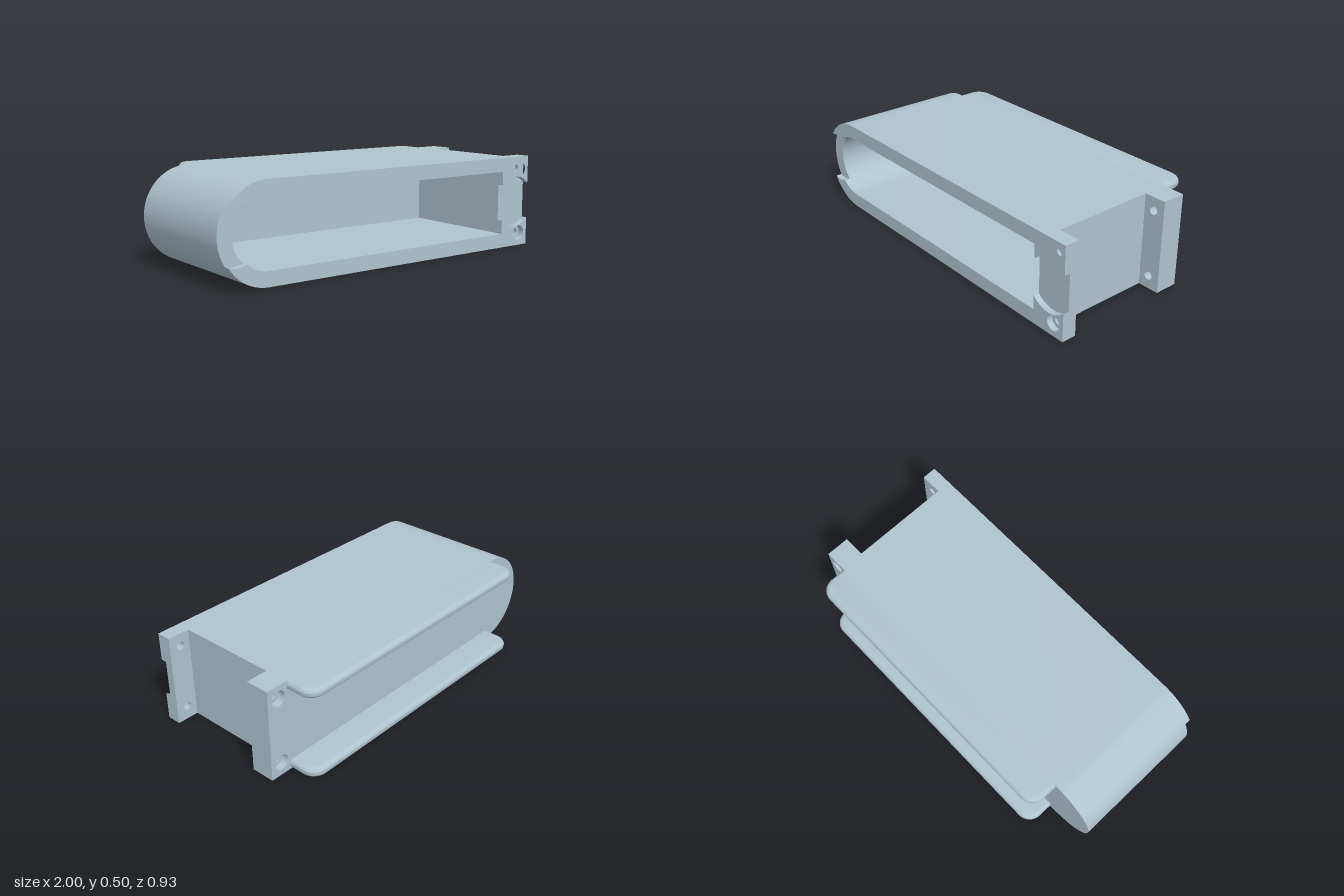
import * as THREE from 'three';
import { toCreasedNormals } from 'three/addons/utils/BufferGeometryUtils.js';

const MID = 0.2525;        // half height, also the outer end radius
const END_X = -0.7475;     // centre of the rounded end
const INNER_R = 0.175;     // cavity end radius
const BACK = -0.305, FRONT = 0.465, RIM = 0.432;
const BODY_X = 0.88, CAVITY_X = 0.8, FLANGE_X = 1;
const NOTCH_R = 0.1414, NOTCH_L = -0.92, NOTCH_RX = 0.9;
const SCREW_X = 0.935, SCREW_Y = 0.182;

// Points along an arc, angles in radians
function arc(cx, r, a0, a1, n = 24) {
  return Array.from({ length: n + 1 }, (_, i) => {
    const a = a0 + (a1 - a0) * i / n;
    return new THREE.Vector2(cx + r * Math.cos(a), r * Math.sin(a));
  });
}

// Rounded on the left, square on the right, centred on y = 0
function slot(r, xRight) {
  return [new THREE.Vector2(xRight, r), ...arc(END_X, r, Math.PI / 2, Math.PI * 1.5, 48), new THREE.Vector2(xRight, -r)];
}

function screwHole(r, y) {
  return new THREE.Path().absarc(SCREW_X, y, r, 0, Math.PI * 2, true);
}

export function createModel() {
  const model = new THREE.Group();
  model.name = 'slottedHousing';
  const material = new THREE.MeshStandardMaterial({ color: 0xafc4cf });
  material.name = 'pale blue grey';

  function add(name, shape, z0, z1) {
    const geo = new THREE.ExtrudeGeometry(shape, { depth: z1 - z0, bevelEnabled: false, curveSegments: 24 });
    const mesh = new THREE.Mesh(toCreasedNormals(geo, 0.5), material);
    mesh.name = name;
    mesh.position.set(0, MID, z0);
    model.add(mesh);
  }

  // Hollow shell and the closed wall behind it
  const wallFront = BACK + 0.08;
  const shell = new THREE.Shape(slot(MID, BODY_X));
  shell.holes.push(new THREE.Path(slot(INNER_R, CAVITY_X)));
  add('shell', shell, wallFront, RIM);
  add('backWall', new THREE.Shape(slot(MID, BODY_X)), BACK, wallFront);

  // Screw flanges, in layers so that the holes are counterbored
  function flange(name, holeR, z0, z1) {
    const s = new THREE.Shape([
      new THREE.Vector2(BODY_X, -MID), new THREE.Vector2(FLANGE_X, -MID),
      new THREE.Vector2(FLANGE_X, MID), new THREE.Vector2(BODY_X, MID),
    ]);
    for (const k of [-1, 1]) s.holes.push(screwHole(holeR, k * SCREW_Y));
    add(name, s, z0, z1);
  }
  flange('frontFlange', 0.023, 0.385, RIM);
  flange('backFlange', 0.023, BACK + 0.04, -0.175);
  flange('backFlangeCounterbore', 0.042, BACK, BACK + 0.04);

  // Front rim halves, parted by round finger notches at both ends
  const d = END_X - NOTCH_L;
  const meet = (R) => { // where the left notch cuts a circle of the rounded end
    const a = (R * R - NOTCH_R * NOTCH_R + d * d) / (2 * d);
    const h = Math.sqrt(R * R - a * a);
    return { end: Math.atan2(h, -a), notch: Math.atan2(h, d - a) };
  };
  const inner = meet(INNER_R), outer = meet(MID);
  const half = [
    new THREE.Vector2(FLANGE_X, MID),
    ...arc(NOTCH_RX, NOTCH_R, Math.PI / 4, Math.PI * 0.75),
    new THREE.Vector2(CAVITY_X, INNER_R),
    ...arc(END_X, INNER_R, Math.PI / 2, inner.end),
    ...arc(NOTCH_L, NOTCH_R, inner.notch, outer.notch).slice(1, -1),
    ...arc(END_X, MID, outer.end, Math.PI / 2),
  ];
  for (const k of [1, -1]) {
    const s = new THREE.Shape(half.map((p) => new THREE.Vector2(p.x, k * p.y)));
    s.holes.push(screwHole(0.042, k * SCREW_Y));
    add(k > 0 ? 'upperRim' : 'lowerRim', s, RIM, FRONT);
  }

  // Two rear rails with fully rounded edges, rooted in the back wall
  const r = 0.026, c = 0.08 - r;
  const x0 = -0.745 + r, x1 = BODY_X - r, root = 0.3, tip = 0.467 - r;
  const rail = new THREE.Shape();
  rail.moveTo(x0, root);
  rail.lineTo(x1, root);
  rail.lineTo(x1, tip - c);
  rail.absarc(x1 - c, tip - c, c, 0, Math.PI / 2, false);
  rail.lineTo(x0 + c, tip);
  rail.absarc(x0 + c, tip - c, c, Math.PI / 2, Math.PI, false);
  rail.lineTo(x0, root);
  const railGeo = toCreasedNormals(new THREE.ExtrudeGeometry(rail, {
    depth: 0.001, bevelThickness: r, bevelSize: r, bevelSegments: 8, curveSegments: 12,
  }), 0.5);
  railGeo.rotateX(-Math.PI / 2);
  for (const [name, y] of [['lowerRail', r], ['upperRail', 2 * MID - r - 0.001]]) {
    const mesh = new THREE.Mesh(railGeo, material);
    mesh.name = name;
    mesh.position.y = y;
    model.add(mesh);
  }
  return model;
}
